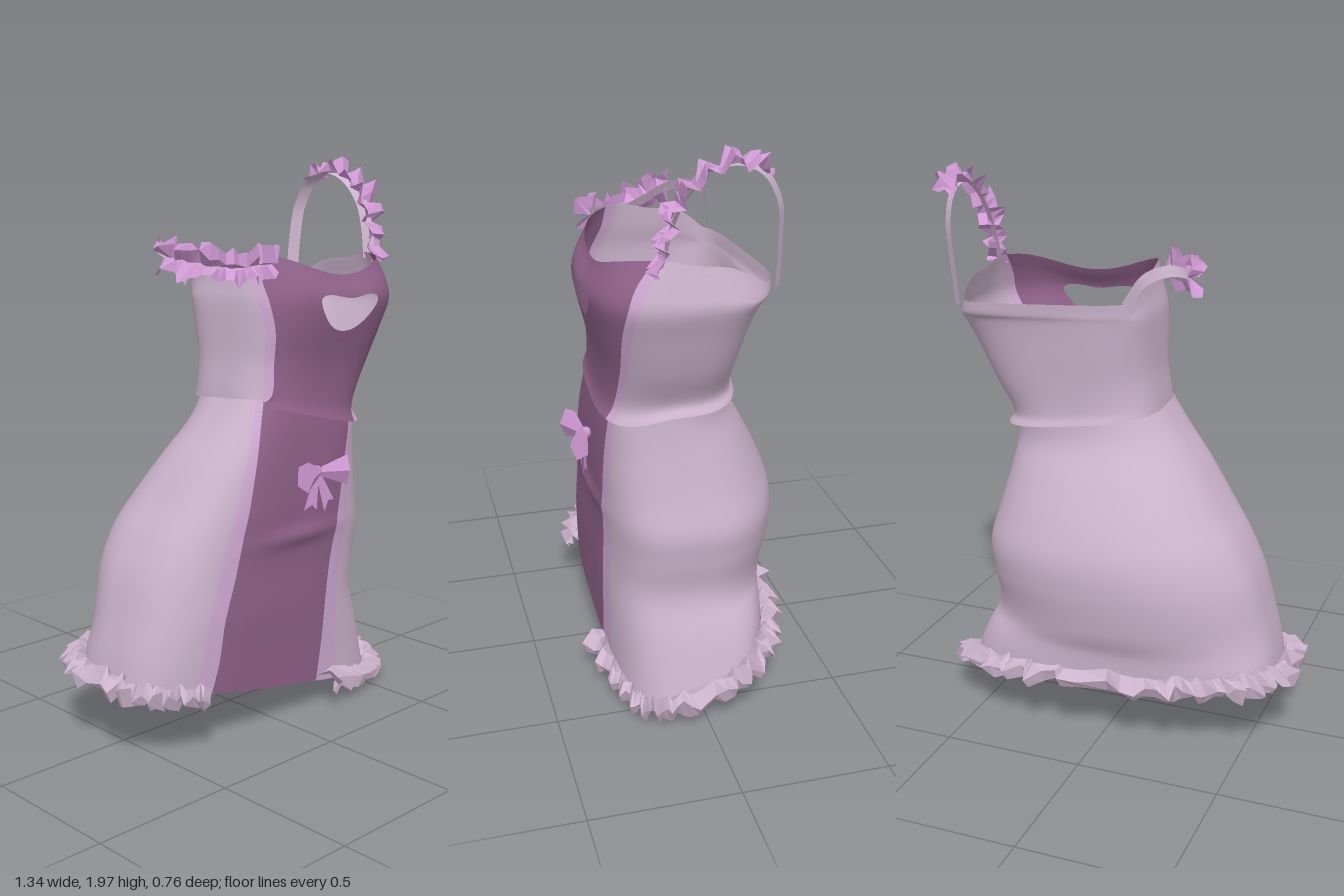
import * as THREE from 'three';

const colour = (name, hex) => new THREE.MeshStandardMaterial({ name, color: hex, side: THREE.DoubleSide });
const lerp = THREE.MathUtils.lerp, smooth = THREE.MathUtils.smoothstep;
const V = (x, y, z) => new THREE.Vector3(x, y, z);

let seed = 7;
const rand = () => (seed = (seed * 16807) % 2147483647) / 2147483647;

// Tilted cross-sections: left x, y, right x, y, front z, back z, panel from x, panel to x
const SKIRT = [
  [-0.575, 0.25, 0.585, 0.045, 0.27, -0.295, -0.33, 0.175],
  [-0.56, 0.34, 0.53, 0.26, 0.275, -0.305, -0.30, 0.20],
  [-0.53, 0.46, 0.485, 0.42, 0.28, -0.335, -0.28, 0.215],
  [-0.49, 0.60, 0.50, 0.55, 0.28, -0.355, -0.235, 0.235],
  [-0.43, 0.72, 0.51, 0.66, 0.285, -0.35, -0.205, 0.255],
  [-0.36, 0.82, 0.48, 0.78, 0.29, -0.31, -0.175, 0.275],
  [-0.27, 0.95, 0.45, 0.92, 0.29, -0.24, -0.14, 0.30],
  [-0.17, 1.08, 0.435, 1.02, 0.285, -0.175, -0.10, 0.325],
  [-0.10, 1.19, 0.43, 1.11, 0.275, -0.16, -0.06, 0.34],
];
const BODICE = [
  [-0.115, 1.16, 0.458, 1.08, 0.303, -0.175, -0.09, 0.345],
  [-0.11, 1.20, 0.44, 1.125, 0.288, -0.163, -0.04, 0.36],
  [-0.095, 1.30, 0.50, 1.24, 0.295, -0.17, -0.03, 0.43],
  [-0.09, 1.40, 0.555, 1.38, 0.325, -0.19, -0.035, 0.50],
  [-0.085, 1.50, 0.59, 1.48, 0.345, -0.215, -0.05, 0.55],
  [-0.07, 1.58, 0.58, 1.56, 0.335, -0.235, -0.05, 0.55],
  [-0.06, 1.66, 0.56, 1.64, 0.30, -0.245, -0.035, 0.545],
];
const STRIPE = 0.16; // angular width of the edging beside the panel

// Garment surface: rounded-box rings (front squareness nf, back squareness nb(t)) blended between sections
function garment(rows, nf, nb, adjust) {
  const spline = new THREE.CubicInterpolant(rows.map((_, i) => i), rows.flat(), 8);
  const pow = (v, e) => Math.sign(v) * Math.abs(v) ** e;
  // region: panel, right edging, body, left edging; u runs 0..1 across it
  const point = (region, u, t) => {
    const [lx, ly, rx, ry, zf, zb, pl, pr] = spline.evaluate(t);
    const c = (lx + rx) / 2, a = (rx - lx) / 2, zc = (zf + zb) / 2, b = (zf - zb) / 2;
    const angle = x => Math.acos(pow(THREE.MathUtils.clamp((x - c) / a, -0.99, 0.99), nf / 2));
    const a0 = angle(pr), a1 = angle(pl), end = a0 + 2 * Math.PI;
    const th = region === 0 ? angle(lerp(pr, pl, u))
      : region === 1 ? a1 + STRIPE * u
      : region === 2 ? lerp(a1 + STRIPE, end - STRIPE, u) : end - STRIPE * (1 - u);
    const s = Math.sin(th), n = s > 0 ? nf : nb(t);
    const x = c + a * pow(Math.cos(th), 2 / n), fx = (x - lx) / (rx - lx);
    const p = V(x, lerp(ly, ry, fx), zc + b * pow(s, 2 / n));
    adjust(p, s, fx, t);
    return p;
  };
  return { point, top: rows.length - 1 };
}

function geometryFrom(points, index) {
  const g = new THREE.BufferGeometry().setFromPoints(points);
  g.setIndex(index);
  g.computeVertexNormals();
  return g;
}

// Closed tube of cloth with one material group per region
function cloth(g, nv, skipPanel) {
  const counts = [20, 2, 80, 2], cols = [];
  counts.forEach((k, r) => { for (let i = 0; i < k; i++) cols.push([r, i / k]); });
  const N = cols.length, points = [], index = [], groups = [];
  for (let j = 0; j <= nv; j++) cols.forEach(([r, u]) => points.push(g.point(r, u, g.top * j / nv)));
  let col = 0;
  counts.forEach((k, r) => {
    const start = index.length;
    for (let i = col; i < col + k && !(skipPanel && r === 0); i++) for (let j = 0; j < nv; j++) {
      const a = j * N + i, b = j * N + (i + 1) % N;
      index.push(a, a + N, b, b, a + N, b + N);
    }
    groups.push([start, index.length - start, [0, 1, 2, 1][r]]);
    col += k;
  });
  const geo = geometryFrom(points, index);
  groups.forEach(q => geo.addGroup(...q));
  return geo;
}

// Bodice panel: rings running from a wide heart-shaped opening out to the panel border
function heartPanel(g) {
  const side = 24, M = side * 4, rings = 10, points = [], index = [];
  for (let k = 0; k <= rings; k++) for (let i = 0; i < M; i++) {
    const q = ((i + side / 2) % M) / side, f = q % 1; // starts mid-top, runs toward +x
    const [u, v] = q < 1 ? [1 - f, 1] : q < 2 ? [0, 1 - f] : q < 3 ? [f, 0] : [1, f];
    const h = i / M * 2 * Math.PI, cos = Math.cos(h), sin = Math.sin(h);
    const hu = 0.5 - 0.24 * sin;
    const hy = cos - 0.45 * Math.max(0, cos) ** 8 + 0.25 * Math.abs(sin) ** 3;
    const s = k / rings;
    points.push(g.point(0, lerp(hu, u, s), lerp(3.9 + 0.9 * hy, v * g.top, s)));
  }
  for (let k = 0; k < rings; k++) for (let i = 0; i < M; i++) {
    const a = k * M + i, b = k * M + (i + 1) % M;
    index.push(a, a + M, b, b, a + M, b + M);
  }
  return geometryFrom(points, index);
}

// Open strip: rows(i) gives the points across it at step i
function strip(n, rows) {
  const points = [], index = [];
  let w = 0;
  for (let i = 0; i <= n; i++) { const r = rows(i); w = r.length; points.push(...r); }
  for (let i = 0; i < n; i++) for (let j = 0; j < w - 1; j++) {
    const a = i * w + j;
    index.push(a, a + 1, a + w, a + w, a + 1, a + w + 1);
  }
  return geometryFrom(points, index);
}

// Crumpled frill; each profile entry is [outward, sideways, crumple]
function frill(n, frame, profile) {
  const geo = strip(n, i => {
    const { p, out, side } = frame(i / n), wave = Math.sin(i * 1.9) * (0.5 + 0.7 * rand());
    return profile.map(([o, s, c]) => p.clone()
      .addScaledVector(out, o + c * wave)
      .addScaledVector(side, s + c * (rand() - 0.5) * 1.5));
  }).toNonIndexed();
  geo.computeVertexNormals();
  return geo;
}

export function createModel() {
  const lilac = colour('lilac cloth', 0xccb4cc), plum = colour('plum panel', 0x90628a);
  const pink = colour('pink edging', 0xcfaad2), orchid = colour('orchid trim', 0xd09ad4);
  const model = new THREE.Group();
  const add = (name, geo, mat, parent = model) => {
    const m = new THREE.Mesh(geo, mat);
    m.name = name;
    parent.add(m);
    return m;
  };

  // Skirt: hem rising toward the back, soft fold across the front panel
  const skirt = garment(SKIRT, 3.5, t => lerp(2.8, 2.15, smooth(t, 0, 2)), (p, s, fx, t) => {
    p.y += (0.03 + 0.13 * fx) * smooth(-s, -0.6, 0.7) * (1 - smooth(t, 0, 2));
    p.z += 0.016 * Math.exp(-(((p.y - 0.69) / 0.03) ** 2) - ((p.x - 0.07) / 0.17) ** 2) * Math.max(0, s);
  });
  add('skirt', cloth(skirt, 64), [plum, pink, lilac]);

  // Bodice: sweetheart neckline, lower back, back edge drawn in on the right
  const bodice = garment(BODICE, 2.9, t => lerp(2.8, 5, smooth(t, 1, 6)), (p, s, fx, t) => {
    const w = smooth(t, 3.5, 6), mid = Math.sin(Math.PI * THREE.MathUtils.clamp(fx, 0, 1));
    p.y -= w * (s > 0 ? 0.07 * mid ** 1.5 * smooth(s, 0, 0.5) : 0) + w * 0.1 * smooth(-s, -0.3, 0.6);
    p.y -= 0.06 * Math.max(0, s) * fx * (1 - smooth(t, 0, 2));
    p.z += 0.06 * (1 - fx) * Math.max(0, -s) * smooth(t, 2, 6);
  });
  add('bodice', cloth(bodice, 36, true), [plum, pink, lilac]);
  add('bodicePanel', heartPanel(bodice), plum);

  // Hem frill, all round except across the front panel
  const hem = s => {
    const p = s < 0.03 ? skirt.point(1, s / 0.03, 0) : s > 0.97 ? skirt.point(3, (s - 0.97) / 0.03, 0)
      : skirt.point(2, (s - 0.03) / 0.94, 0);
    return { p, out: V(p.x, 0, p.z * 1.2).normalize(), side: V(0, 1, 0) };
  };
  add('hemFrill', frill(110, hem,
    [[0, 0.02, 0.003], [0.03, 0.04, 0.02], [0.065, 0.005, 0.032], [0.045, -0.03, 0.03]]), lilac);

  // Straps: thin bands with a frill along the front part
  const strap = (name, path, hub, bandSide, side, width, reach, count, profile) => {
    const curve = new THREE.CatmullRomCurve3(path.map(p => V(...p)));
    add(name + 'Band', strip(40, i => [-0.5, 0.5].map(k =>
      curve.getPointAt(i / 40).addScaledVector(bandSide, k * width))), lilac);
    const frame = s => {
      const p = curve.getPointAt(s * reach), out = p.clone().sub(hub);
      out.addScaledVector(side, -out.dot(side)).normalize();
      return { p, out, side };
    };
    add(name + 'Frill', frill(count, frame, profile), orchid);
  };
  strap('leftStrap', [[0.565, 1.62, 0.15], [0.575, 1.72, 0.13], [0.585, 1.82, 0.09], [0.59, 1.9, 0.01],
    [0.59, 1.925, -0.08], [0.585, 1.89, -0.16], [0.575, 1.8, -0.21], [0.56, 1.68, -0.22], [0.545, 1.53, -0.22]],
    V(0.58, 1.72, -0.04), V(0.75, 0, 0.6), V(1, 0, 0), 0.045, 0.58, 23,
    [[0.03, -0.03, 0.028], [0.005, 0, 0.006], [0.035, 0.035, 0.033], [0.02, 0.058, 0.03]]);
  strap('rightStrap', [[-0.045, 1.64, 0.24], [-0.1, 1.62, 0.13], [-0.18, 1.635, 0.02], [-0.23, 1.66, -0.07],
    [-0.19, 1.68, -0.155], [-0.12, 1.65, -0.18], [-0.045, 1.55, -0.17]],
    V(-0.02, 1.65, -0.02), V(0.4, 0.9, 0.1), V(0, 1, 0), 0.04, 0.56, 19,
    [[0.045, -0.055, 0.03], [0.005, -0.01, 0.006], [0.05, 0.02, 0.035], [0.035, 0.05, 0.03]]);

  // Bow on the skirt: knot, two folded loops and two notched tails
  const bow = new THREE.Group();
  bow.name = 'bow';
  bow.position.set(0.125, 0.91, 0.305);
  model.add(bow);
  add('bowKnot', new THREE.SphereGeometry(0.02, 8, 6), orchid, bow);
  const tail = new THREE.Shape([[-0.01, 0], [0.01, 0], [0.032, -0.13], [0.005, -0.118], [-0.03, -0.145]]
    .map(p => new THREE.Vector2(...p)));
  for (const s of [-1, 1]) {
    const loop = new THREE.CylinderGeometry(0.018, 0.056, 0.1, 5, 1).toNonIndexed();
    loop.computeVertexNormals();
    loop.rotateZ(s * Math.PI / 2).scale(1, 1, 0.6).translate(s * 0.057, 0, 0)
      .rotateY(-s * 0.3).translate(0, 0, 0.01);
    add('bowLoop', loop, orchid, bow);
    const t = add('bowTail', new THREE.ShapeGeometry(tail), orchid, bow);
    t.rotation.set(-0.1, 0, s * 0.36);
    t.position.z = 0.003;
  }
  return model;
}
